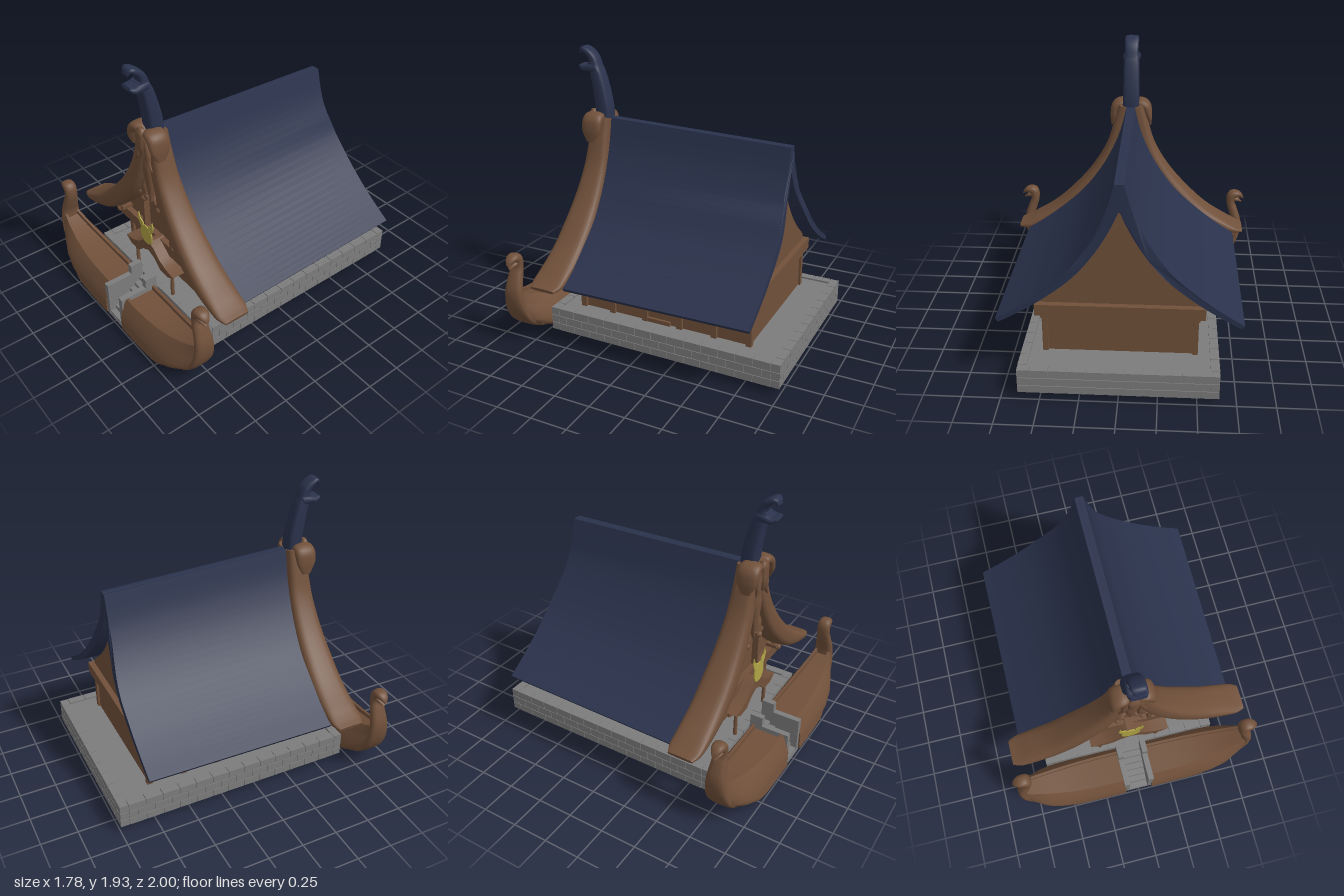
import * as THREE from 'three';
import { toCreasedNormals } from 'three/addons/utils/BufferGeometryUtils.js';

const mat = (name, color) => Object.assign(new THREE.MeshStandardMaterial({ color }), { name });
const wood = mat('wood', 0x70503a);
const navy = mat('navy shingles', 0x2a324c);
const stone = mat('stone', 0x7c7c7c);
const gold = mat('gold', 0xb0a445);
const V = (x, y, z = 0) => new THREE.Vector3(x, y, z);
const V2 = (x, y) => new THREE.Vector2(x, y);

// Skin closed rings of points (counterclockwise about the path) and cap both ends
function loft(rings, crease = 0.7) {
  const n = rings[0].length, pos = [], idx = [];
  rings.forEach(r => r.forEach(p => pos.push(p.x, p.y, p.z)));
  for (let i = 0; i < rings.length - 1; i++) for (let j = 0; j < n; j++) {
    const a = i * n + j, b = i * n + (j + 1) % n;
    idx.push(a, b, a + n, b, b + n, a + n);
  }
  [0, rings.length - 1].forEach((r, end) => {
    const c = rings[r].reduce((s, p) => s.add(p), V(0, 0)).divideScalar(n);
    const ci = pos.length / 3;
    pos.push(c.x, c.y, c.z);
    for (let j = 0; j < n; j++) {
      const a = r * n + j, b = r * n + (j + 1) % n;
      idx.push(ci, ...(end ? [a, b] : [b, a]));
    }
  });
  const g = new THREE.BufferGeometry();
  g.setAttribute('position', new THREE.Float32BufferAttribute(pos, 3));
  g.setIndex(idx);
  return toCreasedNormals(g, crease);
}

// Sweep a rounded section along [x, y, halfWidth, halfDepth] keys lying in the xy plane
function sweep(keys, steps = 20, power = 0.8, sides = 20) {
  const path = new THREE.CatmullRomCurve3(keys.map(k => V(k[0], k[1])));
  const size = new THREE.CatmullRomCurve3(keys.map(k => V(k[2], k[3])));
  const bend = v => Math.sign(v) * Math.abs(v) ** power;
  const rings = [];
  for (let i = 0; i <= steps; i++) {
    const t = i / steps, p = path.getPoint(t), q = path.getTangent(t), s = size.getPoint(t);
    rings.push(Array.from({ length: sides }, (_, j) => {
      const a = j / sides * Math.PI * 2, w = bend(Math.cos(a)) * s.x;
      return V(p.x - q.y * w, p.y + q.x * w, bend(Math.sin(a)) * s.y);
    }));
  }
  return loft(rings);
}

function extrude(points, z0, z1) {
  const g = new THREE.ExtrudeGeometry(new THREE.Shape(points), { depth: z1 - z0, bevelEnabled: false });
  return toCreasedNormals(g.translate(0, 0, z0), 0.5);
}
const mirrored = half => [...half, ...half.map(p => V2(-p.x, p.y)).reverse()];

// Half of the boat hull: overlapping strakes, rim and sunken deck, fuller towards the keel
function hullHalf() {
  const stem = new THREE.CatmullRomCurve3([V(0.84, 0.4), V(0.825, 0.26), V(0.755, 0.14), V(0.6, 0.05)]);
  const P = (u, v, out) => {
    const e = stem.getPoint(v), mid = 0.27 - 0.25 * v, end = 0.05 + 0.04 * v;
    const beam = 0.112 + 0.043 * Math.sin(Math.min(1, v * 1.4) * Math.PI / 2);
    return V(0.1 + (e.x - 0.1) * u, mid + (e.y - mid) * u ** 3,
      end + (beam - end) * (1 - u ** (2.5 + 9 * v)) + out);
  };
  const rings = [];
  for (let i = 0; i <= 28; i++) {
    const u = Math.sin(i / 28 * Math.PI / 2), front = [];
    for (let k = 0; k < 5; k++) front.push(P(u, k / 5, 0), P(u, (k + 0.6) / 5, 0.007), P(u, (k + 1) / 5, 0.01));
    const back = front.map(p => V(p.x, p.y, -p.z)).reverse();
    const s = front[0], w = s.z - 0.018;
    rings.push([...front, ...back, V(s.x, s.y, -w), V(s.x, s.y - 0.03, -w), V(s.x, s.y - 0.03, w), V(s.x, s.y, w)]);
  }
  return loft(rings, 0.5);
}

export function createModel() {
  const root = new THREE.Group();
  const add = (name, geo, m, x = 0, y = 0, z = 0) => {
    const o = new THREE.Mesh(geo, m);
    o.name = name;
    o.position.set(x, y, z);
    root.add(o);
    return o;
  };
  const box = (name, m, x0, x1, y0, y1, z0, z1) =>
    add(name, new THREE.BoxGeometry(x1 - x0, y1 - y0, z1 - z0), m, (x0 + x1) / 2, (y0 + y1) / 2, (z0 + z1) / 2);
  // Left part plus its half-turn twin on the right
  const pair = (name, geo, m, z) => {
    add(name + 'Left', geo, m, 0, 0, z);
    add(name + 'Right', geo, m, 0, 0, z).rotation.y = Math.PI;
  };

  // Stone foundation with three staggered brick courses
  box('foundationCore', stone, -0.632, 0.632, 0.05, 0.207, -0.992, 0.672);
  const courses = [0.05, 0.105, 0.163, 0.222];
  for (let c = 0; c < 3; c++) {
    const y0 = courses[c] + 0.002, y1 = courses[c + 1] - 0.002, shift = c % 2 ? 0.06 : 0;
    const run = (from, to, put) => {
      for (let a = from - shift; a < to - 0.01; a += 0.12) {
        const lo = Math.max(a, from) + 0.002, hi = Math.min(a + 0.12, to) - 0.002;
        if (hi > lo) put(lo, hi);
      }
    };
    run(-0.64, 0.64, (a, b) => {
      box('brickBack', stone, a, b, y0, y1, -1, -0.942);
      box('brickFront', stone, a, b, y0, y1, 0.622, 0.68);
    });
    run(-0.94, 0.62, (a, b) => {
      for (const s of [-1, 1]) box('brickSide', stone, s * 0.611 - 0.029, s * 0.611 + 0.029, y0, y1, a, b);
    });
  }

  // Timber walls, posts and plate
  box('walls', wood, -0.48, 0.48, 0.2, 0.5, -0.74, 0.5);
  box('wallPlate', wood, -0.545, 0.545, 0.485, 0.565, -0.78, 0.6);
  box('wallPlateLower', wood, -0.51, 0.51, 0.46, 0.486, -0.765, 0.55);
  for (const s of [-1, 1]) {
    for (const z of [0.5, 0.27, 0.02, -0.24, -0.49, -0.735])
      box('wallPost', wood, s * 0.485 - 0.018, s * 0.485 + 0.018, 0.2, 0.47, z - 0.02, z + 0.02);
    box('gablePost', wood, s * 0.16 - 0.014, s * 0.16 + 0.014, 0.565, 0.87, 0.55, 0.605);
    box('doorstep', wood, s * 0.487 - 0.012, s * 0.487 + 0.012, 0.2, 0.235, -0.17, 0);
  }

  // Sweeping roof shell, thicker towards the ridge, and the gable filling beneath it
  const curve = new THREE.SplineCurve([V2(0.03, 1.45), V2(0.085, 1.25), V2(0.185, 1.04), V2(0.33, 0.84),
    V2(0.5, 0.68), V2(0.65, 0.565), V2(0.785, 0.475)]);
  const outer = curve.getPoints(28).reverse();
  const inset = extra => Array.from({ length: 29 }, (_, i) => {
    const p = curve.getPoint(1 - i / 28), t = curve.getTangent(1 - i / 28);
    const d = 0.03 + 0.05 * i / 28 + extra;
    return V2(p.x + t.y * d, p.y - t.x * d);
  }).filter(p => p.x > 0.004);
  const roof = new THREE.ExtrudeGeometry(
    new THREE.Shape([...mirrored(outer), ...mirrored(inset(0)).reverse()]), { depth: 1, bevelEnabled: false });
  const rp = roof.attributes.position;
  for (let i = 0; i < rp.count; i++) {
    const y = rp.getY(i), h = (y - 0.47) / 0.98;
    const back = rp.getZ(i) < 0.5;
    rp.setZ(i, back ? -0.8 - 0.042 * (1 - THREE.MathUtils.smoothstep(y, 0.8, 1.22)) : 0.48 + 0.04 * h);
    if (back) rp.setY(i, y + 0.02 - 0.055 * h);
  }
  add('roof', toCreasedNormals(roof, 0.6), navy);
  const ridge = add('ridge', new THREE.CylinderGeometry(0.03, 0.03, 1.32, 12), navy, 0, 1.404, -0.14);
  ridge.rotation.x = Math.PI / 2 - 0.026;
  add('gable', extrude(mirrored([V2(0.53, 0.5), ...inset(0.008).filter(p => p.y > 0.56 && p.x < 0.53)]), -0.74, 0.56), wood);

  // Thick curved bargeboards and their drooping crest
  pair('bargeboard', sweep([[0.86, 0.472, 0.012, 0.09], [0.8, 0.485, 0.025, 0.112], [0.72, 0.512, 0.042, 0.116],
    [0.54, 0.6, 0.068, 0.116], [0.38, 0.735, 0.078, 0.112], [0.235, 0.91, 0.075, 0.1],
    [0.125, 1.12, 0.062, 0.085], [0.07, 1.3, 0.06, 0.075], [0.04, 1.45, 0.05, 0.07]], 36, 0.6, 24), wood, 0.588);
  pair('crestLobe', sweep([[0.01, 1.43, 0.03, 0.05], [0.06, 1.46, 0.032, 0.07], [0.105, 1.44, 0.036, 0.075],
    [0.13, 1.37, 0.025, 0.07], [0.143, 1.29, 0.006, 0.03]]), wood, 0.625);
  pair('crestBraid', sweep([[0.03, 1.42, 0.02, 0.02], [0.055, 1.32, 0.022, 0.025], [0.065, 1.25, 0.014, 0.02],
    [0.095, 1.2, 0.004, 0.01]]), wood, 0.664);
  add('crestDrop', sweep([[0, 1.49, 0.02, 0.015], [0, 1.45, 0.042, 0.03], [0, 1.36, 0.04, 0.03], [0, 1.27, 0.006, 0.01]]), wood, 0, 0, 0.676);
  add('gablePendant', sweep([[0, 1.3, 0.02, 0.03], [0, 1.16, 0.045, 0.04], [0, 1.04, 0.034, 0.03], [0, 0.89, 0.005, 0.01]]), wood, 0, 0, 0.63);

  // Gable trim and lantern brackets
  box('crossBeam', wood, -0.2, 0.2, 0.862, 0.886, 0.55, 0.615);
  for (const s of [-1, 1]) for (const [x, y, h] of [[0.43, 0.57, 0.06], [0.088, 0.87, 0.1]]) {
    box('bracket', wood, s * x - 0.05, s * x + 0.05, y + 0.01, y + 0.035, 0.56, 0.64);
    add('bracketKnob', new THREE.SphereGeometry(0.024, 14, 10), wood, s * x, y, 0.63);
    add('bracketCap', sweep([[0, 0, 0.036, 0.03], [0, h * 0.6, 0.034, 0.03], [0, h + 0.03, 0.012, 0.015]]), wood, s * x, y + 0.03, 0.61);
  }

  // Entrance: double door and small porch
  for (const s of [-1, 1]) {
    const leaf = add('doorLeaf', new THREE.CylinderGeometry(0.036, 0.036, 0.28, 16), wood, s * 0.036, 0.35, 0.51);
    leaf.scale.z = 0.5;
    add('porchPost', new THREE.CylinderGeometry(0.012, 0.014, 0.21, 12), wood, s * 0.215, 0.315, 0.64);
    box('porchBeam', wood, s * 0.215 - 0.014, s * 0.215 + 0.014, 0.4, 0.43, 0.5, 0.665);
  }
  add('porchRoof', extrude(mirrored([V2(0.07, 0.46), V2(0.13, 0.405), V2(0.225, 0.4), V2(0.29, 0.44),
    V2(0.2, 0.455), V2(0.13, 0.485), V2(0.06, 0.545), V2(0.015, 0.57)]).concat(V2(0, 0.49)), 0.53, 0.68), wood);

  // Horned gold emblem
  const disc = new THREE.CylinderGeometry(0.067, 0.067, 0.009, 28).rotateX(Math.PI / 2).scale(1, 1.12, 1);
  add('emblemDisc', disc, gold, 0, 0.635, 0.688);
  for (const s of [-1, 1]) {
    const horn = [[0.02, 0.69], [0.05, 0.67], [0.075, 0.695], [0.09, 0.735], [0.08, 0.785], [0.066, 0.74], [0.035, 0.725]];
    add('emblemHorn', extrude(horn.map(([x, y]) => V2(s * x, y)), 0.684, 0.692), gold);
  }

  // Boat across the front, with carved prows
  pair('boatHull', hullHalf(), wood, 0.835);
  pair('prow', sweep([[0.42, 0.032, 0.01, 0.07], [0.6, 0.055, 0.016, 0.09], [0.755, 0.145, 0.022, 0.09], [0.825, 0.265, 0.03, 0.08],
    [0.84, 0.4, 0.034, 0.066], [0.81, 0.5, 0.034, 0.054], [0.788, 0.57, 0.031, 0.046], [0.797, 0.63, 0.036, 0.046],
    [0.835, 0.642, 0.026, 0.042], [0.865, 0.628, 0.016, 0.028], [0.887, 0.605, 0.004, 0.008]], 48), wood, 0.835);
  pair('prowJaw', sweep([[0.8, 0.605, 0.022, 0.036], [0.84, 0.594, 0.014, 0.028], [0.872, 0.575, 0.004, 0.008]]), wood, 0.835);

  // Stone stairs through the boat
  box('stairBase', stone, -0.1, 0.1, 0, 0.025, 0.69, 0.985);
  for (let i = 0; i < 7; i++)
    box('step', stone, -0.07, 0.07, 0.005, 0.22 - i * 0.03, 0.68 + i * 0.042, 0.73 + i * 0.042);
  const rail = [[0.985, 0.005], [0.985, 0.275], [0.79, 0.275], [0.79, 0.345], [0.7, 0.345], [0.7, 0.005]].map(([z, y]) => V2(z, y));
  const railGeo = extrude(rail, -0.02, 0.02).rotateY(-Math.PI / 2);
  for (const s of [-1, 1]) add('stairRail', railGeo, stone, s * 0.09);

  // Dragon finial rising from the ridge
  const finial = (name, keys, power) => add(name, sweep(keys, 20, power).rotateY(-Math.PI / 2), navy);
  finial('dragonNeck', [[0.58, 1.4, 0.055, 0.06], [0.586, 1.52, 0.054, 0.06], [0.606, 1.64, 0.05, 0.058],
    [0.632, 1.75, 0.043, 0.056], [0.662, 1.83, 0.034, 0.05]], 0.5);
  finial('dragonUpperJaw', [[0.64, 1.79, 0.035, 0.05], [0.662, 1.86, 0.028, 0.05], [0.7, 1.9, 0.022, 0.052],
    [0.735, 1.915, 0.018, 0.048], [0.757, 1.885, 0.007, 0.03]], 0.6);
  finial('dragonLowerJaw', [[0.625, 1.79, 0.035, 0.055], [0.68, 1.79, 0.028, 0.065], [0.72, 1.785, 0.024, 0.065],
    [0.755, 1.8, 0.012, 0.05]], 0.6);
  return root;
}
